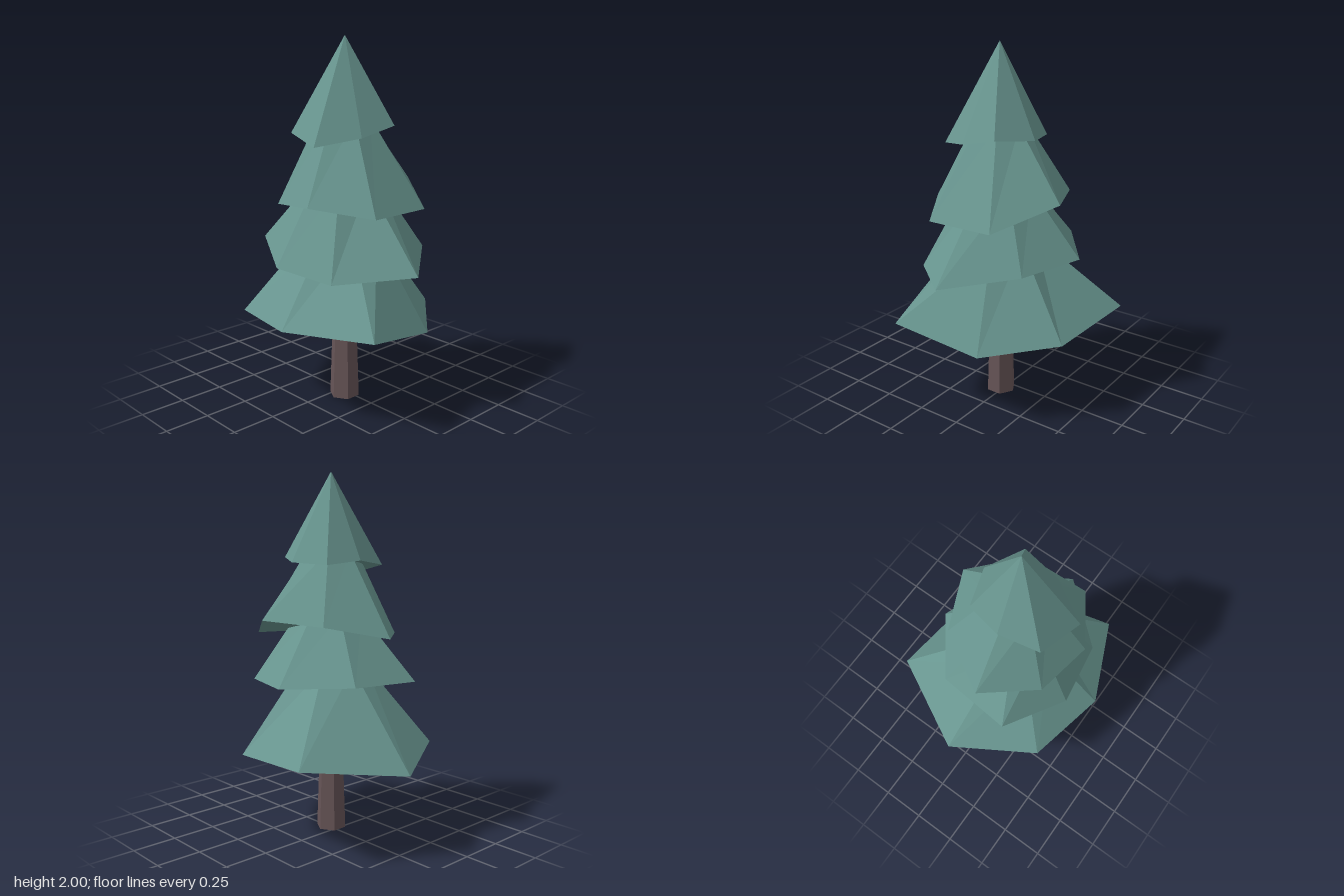
import * as THREE from 'three';

const SIDES = 7;
const CX = 0.055, CZ = 0.02; // trunk axis

// Each tier: uneven seven-sided skirt (radii and heights per corner) rising to a small even ring
const TIERS = [
  { name: 'bottomBranches', start: 30, topY: 0.95, topR: 0.19,
    radii: [0.62, 0.52, 0.56, 0.65, 0.68, 0.53, 0.49],
    heights: [0.54, 0.53, 0.505, 0.46, 0.53, 0.49, 0.45] },
  { name: 'lowerMiddleBranches', start: 1, topY: 1.24, topR: 0.18,
    radii: [0.545, 0.43, 0.41, 0.49, 0.46, 0.46, 0.43],
    heights: [0.815, 0.78, 0.805, 0.885, 0.9, 0.88, 0.87] },
  { name: 'upperMiddleBranches', start: 22.5, topY: 1.58, topR: 0.14,
    radii: [0.43, 0.37, 0.36, 0.43, 0.38, 0.43, 0.44],
    heights: [1.11, 1.15, 1.12, 1.13, 1.2, 1.22, 1.11] },
  { name: 'treeTop', start: 21.5, topY: 2, topR: 0,
    radii: [0.23, 0.315, 0.285, 0.215, 0.25, 0.25, 0.27],
    heights: [1.49, 1.45, 1.5, 1.53, 1.51, 1.52, 1.54] },
];

function tierGeometry({ start, topY, topR, radii, heights }) {
  const ringPoint = (i, r, y) => {
    const a = THREE.MathUtils.degToRad(start + (i * 360) / SIDES);
    return [r * Math.cos(a), y, r * Math.sin(a)];
  };
  const middle = [0, heights.reduce((s, h) => s + h, 0) / SIDES, 0];
  const peak = [0, topY, 0];
  const pos = [];
  for (let i = 0; i < SIDES; i++) {
    const j = (i + 1) % SIDES;
    const b0 = ringPoint(i, radii[i], heights[i]);
    const b1 = ringPoint(j, radii[j], heights[j]);
    pos.push(...middle, ...b0, ...b1); // underside
    if (topR === 0) {
      pos.push(...b0, ...peak, ...b1);
    } else {
      const t0 = ringPoint(i, topR, topY);
      const t1 = ringPoint(j, topR, topY);
      pos.push(...b0, ...t0, ...b1, ...b1, ...t0, ...t1); // sloping side
      pos.push(...peak, ...t1, ...t0); // cap
    }
  }
  const geo = new THREE.BufferGeometry();
  geo.setAttribute('position', new THREE.Float32BufferAttribute(pos, 3));
  geo.computeVertexNormals(); // unshared corners give flat facets
  return geo;
}

export function createModel() {
  const foliage = new THREE.MeshStandardMaterial({ color: 0x68958f });
  foliage.name = 'foliageGreen';
  const bark = new THREE.MeshStandardMaterial({ color: 0x665456 });
  bark.name = 'barkBrown';
  foliage.flatShading = bark.flatShading = true;

  const tree = new THREE.Group();
  tree.name = 'pineTree';

  // Six-sided tapering trunk
  const trunk = new THREE.Mesh(new THREE.CylinderGeometry(0.064, 0.085, 0.6, 6), bark);
  trunk.name = 'trunk';
  trunk.position.set(CX, 0.3, CZ);
  tree.add(trunk);

  // Stacked foliage tiers
  for (const tier of TIERS) {
    const mesh = new THREE.Mesh(tierGeometry(tier), foliage);
    mesh.name = tier.name;
    mesh.position.set(CX, 0, CZ);
    tree.add(mesh);
  }
  return tree;
}
